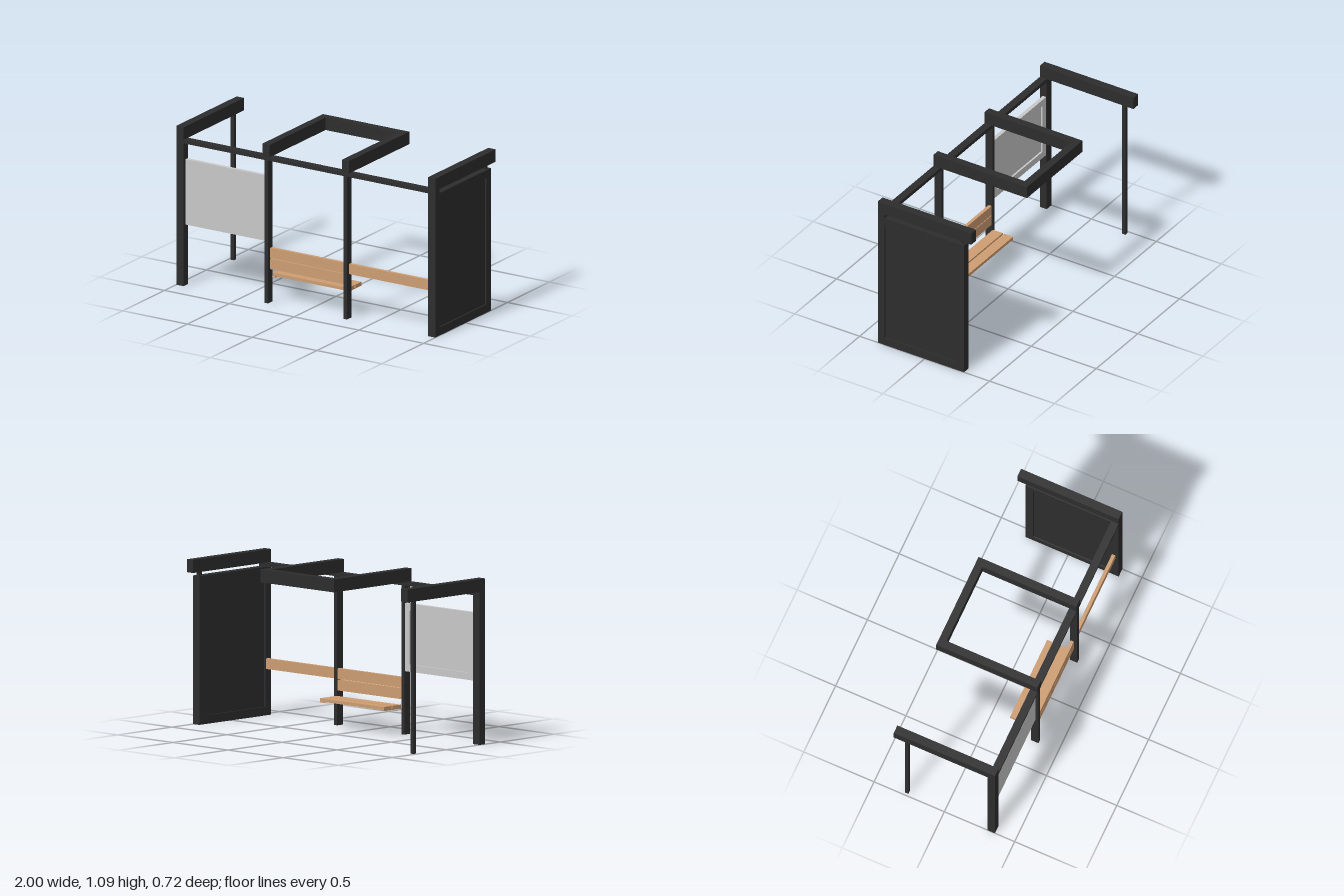
import * as THREE from 'three';

export function createModel() {
  const model = new THREE.Group();
  model.name = 'shelter';

  const mat = (name, color) => {
    const m = new THREE.MeshStandardMaterial({ color });
    m.name = name;
    return m;
  };
  const steel = mat('dark steel', 0x2d2d2d);
  const timber = mat('timber', 0xcd9d72);
  const screen = mat('pale grey', 0xc8c8c8);

  // Box from its limits on each axis
  const box = (name, material, [x0, x1], [y0, y1], [z0, z1], parent = model) => {
    const mesh = new THREE.Mesh(new THREE.BoxGeometry(x1 - x0, y1 - y0, z1 - z0), material);
    mesh.position.set((x0 + x1) / 2, (y0 + y1) / 2, (z0 + z1) / 2);
    mesh.name = name;
    parent.add(mesh);
    return mesh;
  };
  const group = (name) => {
    const g = new THREE.Group();
    g.name = name;
    model.add(g);
    return g;
  };
  // Mirrored pair of limits on x
  const side = (s, a, b) => (s > 0 ? [a, b] : [-b, -a]);

  const FRONT = [0.308, 0.36];
  const ROOF = [1.0, 1.085];

  // Posts, side beams and roof arms on both sides
  for (const s of [1, -1]) {
    const label = s > 0 ? 'left' : 'right';
    box(label + 'CornerPost', steel, side(s, 0.943, 1), [0, 1.0], FRONT);
    box(label + 'SideBeam', steel, side(s, 0.943, 1), ROOF, [-0.36, 0.36]);
    box(label + 'MiddlePost', steel, side(s, 0.291, 0.318), [0, 0.975], FRONT);
    box(label + 'RoofArm', steel, side(s, 0.28, 0.333), ROOF, [-0.36, 0.36]);
    box(label + 'BackPost', steel, side(s, 0.959, 0.984), [s > 0 ? 0.973 : 0, 1.0], [-0.288, -0.263]);
  }
  box('roofBackBeam', steel, [-0.28, 0.28], ROOF, [-0.36, -0.308]);
  box('frontRail', steel, [-0.943, 0.943], [0.975, 1.0], FRONT);

  // Side wall: frame with a pane set back on both faces
  const wall = group('sideWall');
  const WX = [0.943, 1];
  box('wallBottomRail', steel, WX, [0, 0.056], [-0.303, 0.308], wall);
  box('wallTopRail', steel, WX, [0.92, 0.973], [-0.303, 0.308], wall);
  box('wallBackStile', steel, WX, [0.056, 0.92], [-0.303, -0.248], wall);
  box('wallPane', steel, [0.954, 0.989], [0.056, 0.92], [-0.248, 0.308], wall);

  // Grey screen: flat at the front, rimmed at the back
  const board = group('screenBoard');
  const SX = [-0.943, -0.318];
  const RIM = [0.312, 0.325];
  box('screenPanel', screen, SX, [0.415, 0.861], [0.325, 0.338], board);
  box('screenBottomRim', screen, SX, [0.415, 0.462], RIM, board);
  box('screenTopRim', screen, SX, [0.814, 0.861], RIM, board);
  box('screenOuterRim', screen, [-0.943, -0.9], [0.462, 0.814], RIM, board);
  box('screenInnerRim', screen, [-0.361, -0.318], [0.462, 0.814], RIM, board);

  // Bench: two back slats, two seat slats and end bearers
  const bench = group('bench');
  const BX = [-0.291, 0.291];
  const BACK = [0.313, 0.336];
  box('upperBackSlat', timber, BX, [0.304, 0.373], BACK, bench);
  box('lowerBackSlat', timber, BX, [0.228, 0.299], BACK, bench);
  box('innerSeatSlat', timber, BX, [0.173, 0.194], [0.147, 0.217], bench);
  box('outerSeatSlat', timber, BX, [0.173, 0.194], [0.227, 0.303], bench);
  for (const s of [1, -1]) {
    box('seatBearer', timber, side(s, 0.268, 0.291), [0.167, 0.173], [0.147, 0.312], bench);
  }

  // Leaning rail
  box('leaningRail', timber, [0.318, 0.943], [0.304, 0.373], BACK);

  return model;
}
